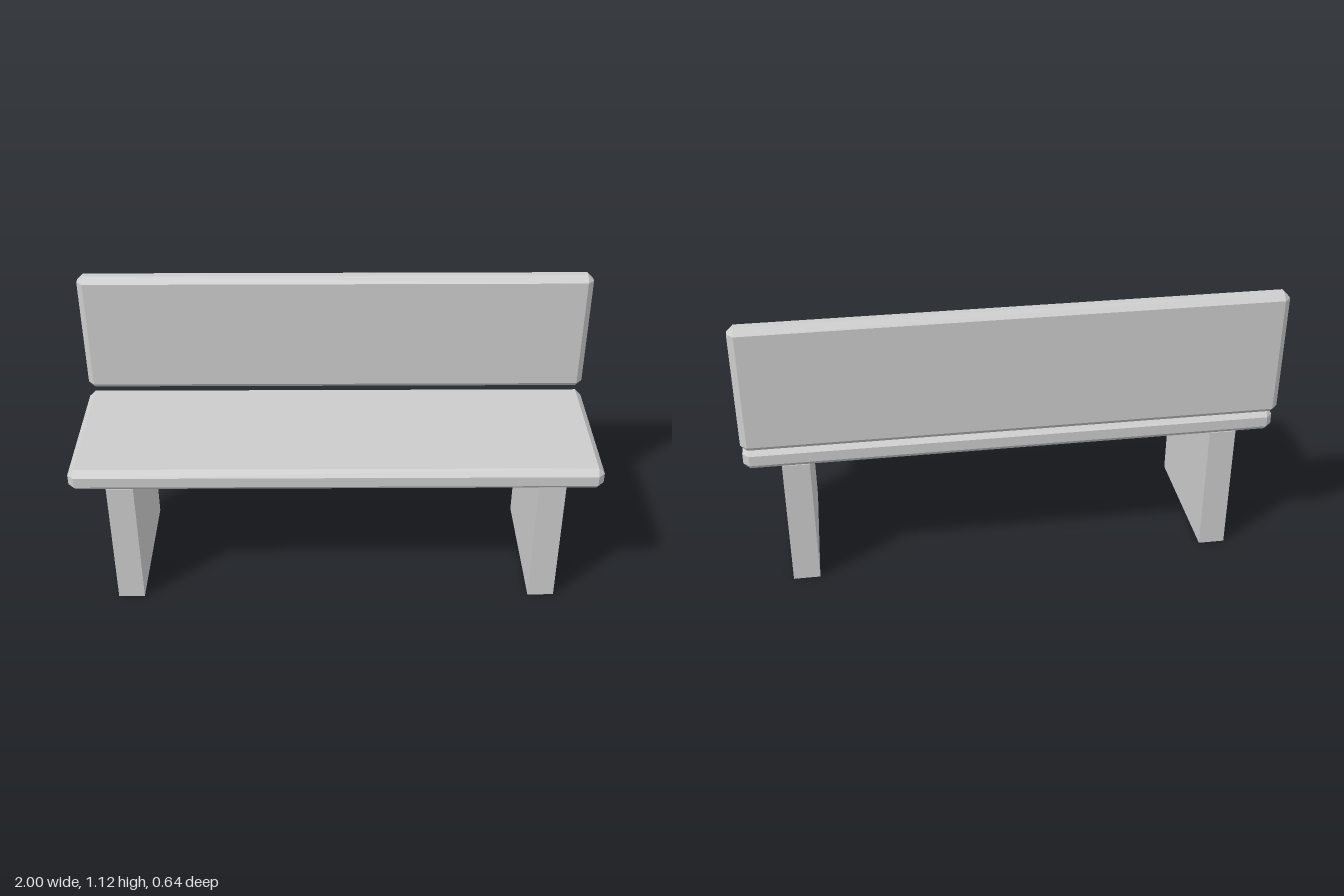
import * as THREE from 'three';
import { ConvexGeometry } from 'three/addons/geometries/ConvexGeometry.js';

// Box with every edge chamfered by c and triangular corner facets.
function chamferedBox(w, h, d, c) {
  const points = [];
  for (const x of [-1, 1]) for (const y of [-1, 1]) for (const z of [-1, 1]) {
    const a = w / 2, b = h / 2, e = d / 2;
    points.push(
      new THREE.Vector3(x * a, y * (b - c), z * (e - c)),
      new THREE.Vector3(x * (a - c), y * b, z * (e - c)),
      new THREE.Vector3(x * (a - c), y * (b - c), z * e)
    );
  }
  return new ConvexGeometry(points);
}

export function createModel() {
  const bench = new THREE.Group();
  bench.name = 'bench';
  const stone = new THREE.MeshStandardMaterial({ color: 0xcccccc });
  stone.name = 'pale grey';

  const add = (name, geometry, x, y, z) => {
    const mesh = new THREE.Mesh(geometry, stone);
    mesh.name = name;
    mesh.position.set(x, y, z);
    bench.add(mesh);
  };

  // Seat slab and the free-standing back panel
  add('seat', chamferedBox(2, 0.088, 0.6, 0.024), 0, 0.57, 0.02);
  add('backrest', chamferedBox(2, 0.498, 0.074, 0.024), 0, 0.876, -0.281);

  // Slab legs, mirrored
  const leg = new THREE.BoxGeometry(0.102, 0.526, 0.56);
  add('leftLeg', leg, 0.812, 0.263, 0.02);
  add('rightLeg', leg, -0.812, 0.263, 0.02);

  return bench;
}
